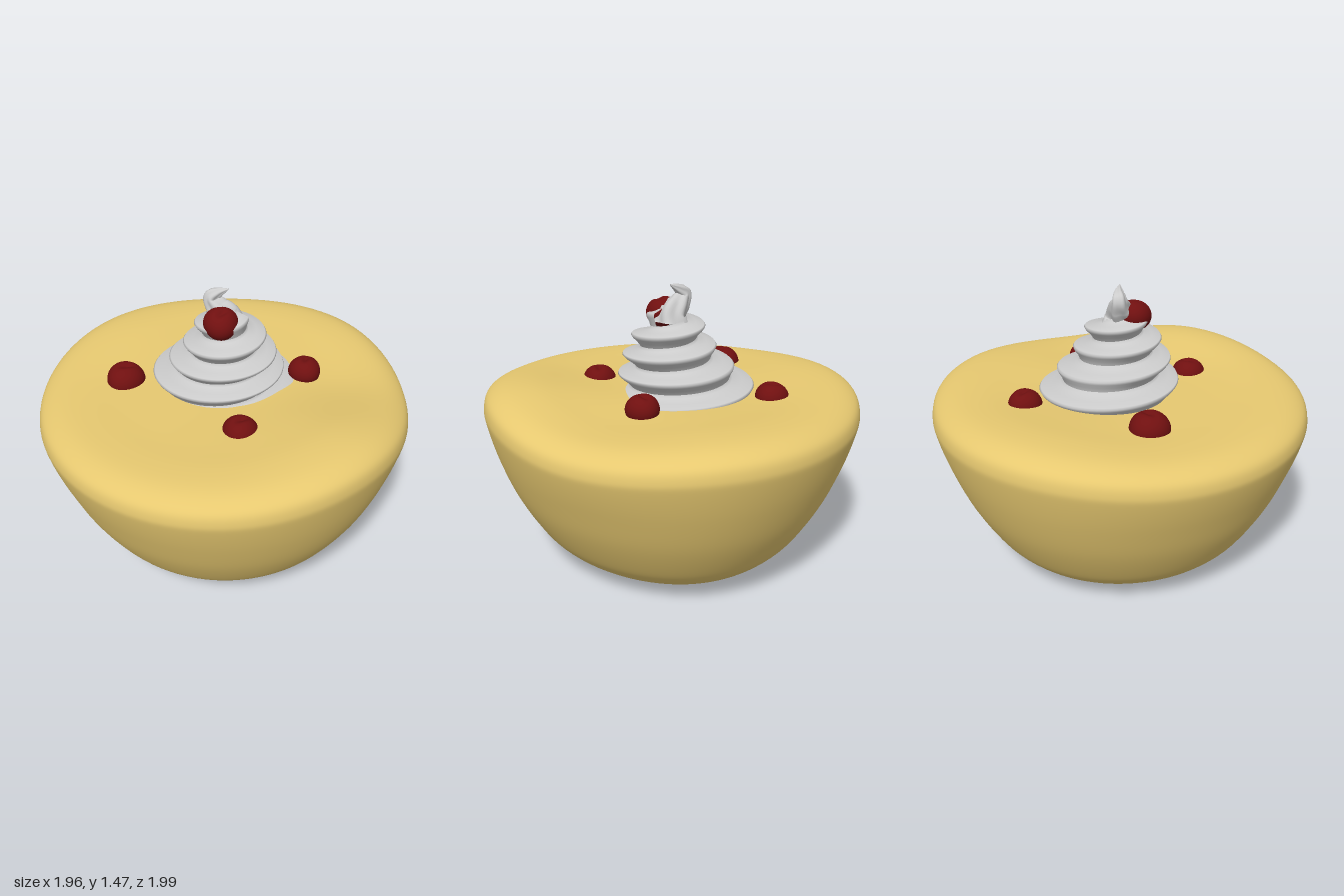
import * as THREE from 'three';
import { mergeVertices } from 'three/addons/utils/BufferGeometryUtils.js';

const pastryMat = new THREE.MeshStandardMaterial({ color: 0xe6c870 });
const creamMat = new THREE.MeshStandardMaterial({ color: 0xcccccc, side: THREE.DoubleSide });
const berryMat = new THREE.MeshStandardMaterial({ color: 0x701010 });

const smooth = THREE.MathUtils.smoothstep;
const lerp = THREE.MathUtils.lerp;

function part(name, geometry, material) {
  const mesh = new THREE.Mesh(geometry, material);
  mesh.name = name;
  return mesh;
}

// Moves every vertex by a rule, then welds seams for smooth normals
function reshape(geometry, rule) {
  const pos = geometry.attributes.position;
  const v = new THREE.Vector3();
  for (let i = 0; i < pos.count; i++) {
    rule(v.fromBufferAttribute(pos, i));
    pos.setXYZ(i, v.x, v.y, v.z);
  }
  geometry.deleteAttribute('normal');
  geometry.deleteAttribute('uv');
  const welded = mergeVertices(geometry, 1e-4);
  welded.computeVertexNormals();
  return welded;
}

// Skins rows of points into a surface
function skin(rows) {
  const n = rows[0].length;
  const index = [];
  for (let i = 0; i < rows.length - 1; i++) {
    for (let j = 0; j < n - 1; j++) {
      const a = i * n + j, b = a + n;
      index.push(a, b, a + 1, b, b + 1, a + 1);
    }
  }
  const g = new THREE.BufferGeometry().setFromPoints(rows.flat());
  g.setIndex(index);
  g.computeVertexNormals();
  return g;
}

// Uneven rim: height change and radius at eight compass points, from +x toward +z
const rimLift = [-0.035, 0.038, -0.008, -0.03, -0.03, 0.01, -0.005, 0.0];
const rimRadius = [0.985, 1.0, 1.0, 0.99, 0.985, 1.0, 1.0, 1.03];
function around(values, angle) {
  const f = (((angle / (Math.PI * 2)) % 1) + 1) % 1 * 8;
  const i = Math.floor(f), t = f - i;
  const p = k => values[(i + k + 8) % 8];
  const [a, b, c, d] = [p(-1), p(0), p(1), p(2)];
  return b + 0.5 * t * (c - a + t * (2 * a - 5 * b + 4 * c - d + t * (3 * (b - c) + d - a)));
}

// Lumpy cup-shaped pastry
function pastryGeometry() {
  const outline = [
    [0, 0], [0.28, 0.006], [0.46, 0.024], [0.6, 0.07], [0.7, 0.15], [0.775, 0.25], [0.868, 0.42],
    [0.942, 0.61], [0.988, 0.77], [0.995, 0.84], [0.967, 0.9], [0.88, 0.94], [0.74, 0.95],
    [0.55, 0.938], [0.3, 0.925], [0, 0.92],
  ].map(([r, y]) => new THREE.Vector2(r, y));
  const points = new THREE.SplineCurve(outline).getPoints(90);
  points[0].x = points[90].x = 0;
  return reshape(new THREE.LatheGeometry(points, 96), v => {
    const r = Math.hypot(v.x, v.z);
    const angle = Math.atan2(v.z, v.x);
    const k = around(rimRadius, angle);
    v.y += around(rimLift, angle) * smooth(v.y, 0.5, 0.92) * smooth(r, 0.2, 0.8);
    v.x *= k;
    v.z *= k;
  });
}

// Piped cream: a ridged band wound up a tapering cone, its start sunk in the pastry
function swirlGeometry() {
  const start = -0.8, turns = 3.9, pitch = 0.105, perTurn = 72;
  const radius = t => lerp(0.4, 0.085, Math.pow(Math.max(0, t) / 5, 0.85));
  const height = t => 0.86 + pitch * t;
  const rows = [];
  for (let i = start * perTurn; i <= turns * perTurn; i++) {
    const t = i / perTurn, a = t * Math.PI * 2 + 1.9;
    const fade = 1 - smooth(t, turns - 0.5, turns);
    const inner = radius(t) - 0.045, nextInner = radius(t + 1) - 0.045;
    const R = inner + lerp(0.015, 0.045, fade), h = height(t);
    const section = [
      [inner, h], [lerp(inner, R, 0.3), h + 0.022], [lerp(inner, R, 0.8), h + 0.045],
      [R, h + 0.06], [R - 0.006, h + 0.069], [lerp(R, nextInner, 0.5), h + 0.078],
      [nextInner + 0.008, h + 0.09], [nextInner, h + pitch],
    ];
    rows.push(section.map(([r, y]) => {
      const lean = smooth(y, 0.92, 1.18);
      return new THREE.Vector3(
        lerp(-0.02, 0.018, lean) + r * Math.sin(a), y, lerp(-0.06, 0, lean) + r * Math.cos(a));
    }));
  }
  return skin(rows);
}

// Fluted cream peak, curling to a point
function peakGeometry() {
  const path = new THREE.CatmullRomCurve3([
    [0.015, 1.27, 0], [0.005, 1.32, 0], [-0.035, 1.37, -0.02], [-0.06, 1.415, -0.03],
    [-0.025, 1.445, -0.02], [0.025, 1.473, 0],
  ].map(p => new THREE.Vector3(...p)));
  const steps = 48, sides = 40;
  const frames = path.computeFrenetFrames(steps);
  const rows = [];
  for (let i = 0; i <= steps; i++) {
    const t = i / steps, c = path.getPointAt(t), row = [];
    const size = lerp(0.002, 0.1, Math.pow(1 - t, 0.9));
    for (let j = 0; j <= sides; j++) {
      const a = -j / sides * Math.PI * 2;
      const r = size * (0.9 + 0.1 * Math.cos(5 * a + t * 6));
      row.push(c.clone()
        .addScaledVector(frames.normals[i], r * Math.cos(a))
        .addScaledVector(frames.binormals[i], r * Math.sin(a)));
    }
    rows.push(row);
  }
  return skin(rows);
}

// Berry with a dimple and faint creases
function berryGeometry() {
  return reshape(new THREE.SphereGeometry(1, 40, 28), v => {
    const a = Math.atan2(v.z, v.x), r = Math.hypot(v.x, v.z);
    const k = 1 + 0.025 * Math.sin(3 * a + 1) * r;
    const dimple = 0.2 * Math.exp(-((v.x - 0.1) ** 2 * 6 + v.z ** 2 * 22));
    v.y = v.y * 0.9 - (v.y > 0 ? dimple : 0);
    v.x *= k;
    v.z *= k;
  });
}

export function createModel() {
  const model = new THREE.Group();
  model.name = 'creamPastry';
  model.add(part('pastry', pastryGeometry(), pastryMat));

  const cream = new THREE.Group();
  cream.name = 'cream';
  cream.add(part('creamSwirl', swirlGeometry(), creamMat), part('creamPeak', peakGeometry(), creamMat));
  model.add(cream);

  // Berries: name, position, radius, turn, tilt
  const berry = berryGeometry();
  const berries = [
    ['topBerry', [-0.015, 1.318, 0.068], 0.088, 0.8, 0.35],
    ['rightBerry', [-0.525, 0.92, -0.03], 0.102, 0.3, 0],
    ['leftBerry', [0.435, 0.942, -0.08], 0.086, 1.2, 0],
    ['frontBerry', [0.08, 0.912, 0.42], 0.09, 0.6, 0],
    ['backBerry', [-0.08, 0.928, -0.54], 0.087, 2.2, 0],
  ];
  for (const [name, position, radius, turn, tilt] of berries) {
    const mesh = part(name, berry, berryMat);
    mesh.position.set(...position);
    mesh.scale.setScalar(radius);
    mesh.rotation.set(tilt, turn, 0);
    model.add(mesh);
  }
  return model;
}
